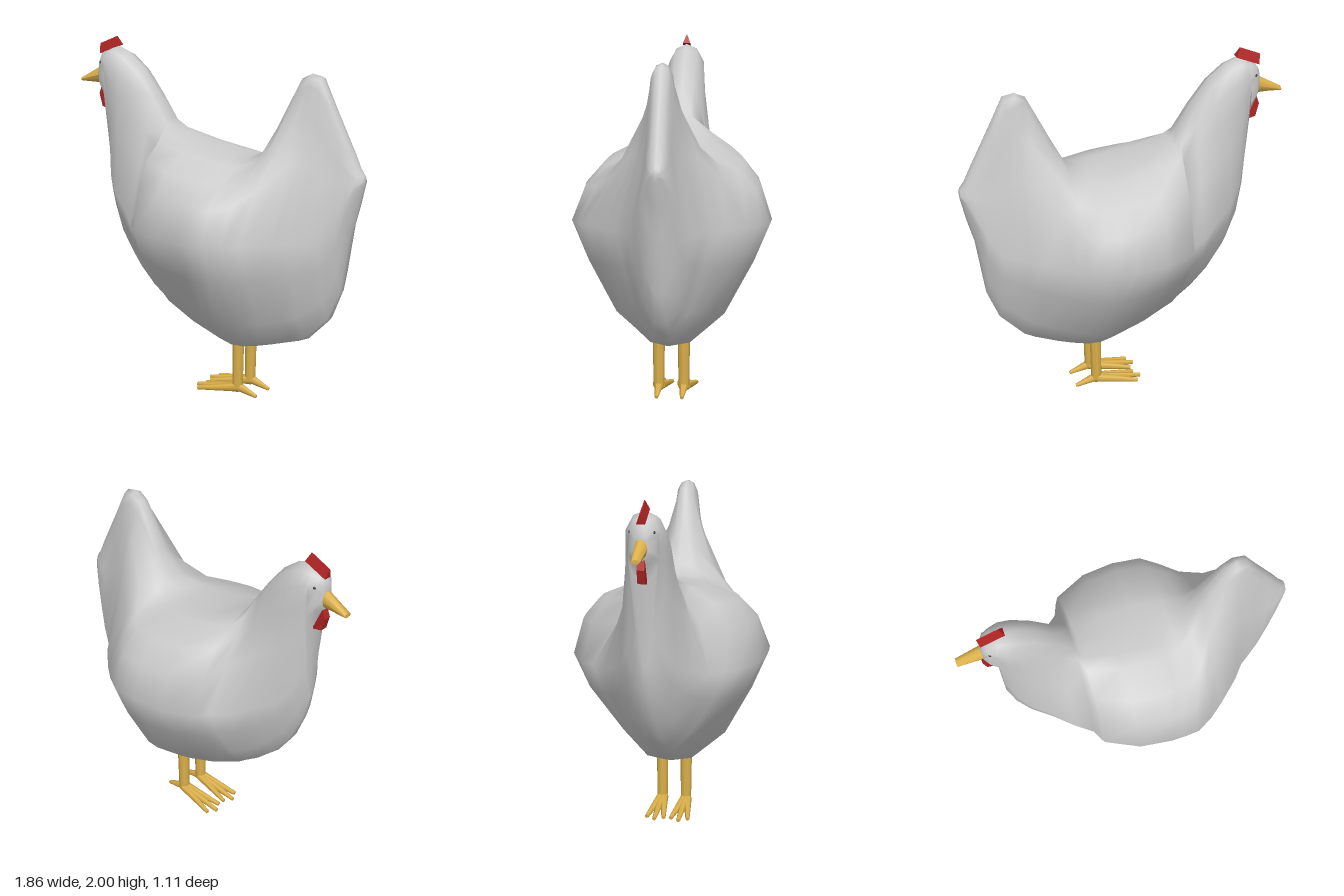
import * as THREE from 'three';

const grey = new THREE.MeshStandardMaterial({ color: 0xcccccc });
const yellow = new THREE.MeshStandardMaterial({ color: 0xdcb04a });
const red = new THREE.MeshStandardMaterial({ color: 0xb02424 });
const dark = new THREE.MeshStandardMaterial({ color: 0x444444 });

// Stations: x, bottom, top, half-width, height of widest point, ridge half-width, ridge height, bulge, belly
const headAndNeck = [
  [-0.79, 1.72, 1.87, 0.04, 1.76, 0.035, 1.83, 0.5, 0.55],
  [-0.765, 1.67, 1.91, 0.07, 1.74, 0.06, 1.86, 0.5, 0.55],
  [-0.725, 1.58, 1.925, 0.085, 1.7, 0.08, 1.86, 0.5, 0.55],
  [-0.71, 1.12, 1.935, 0.05, 1.35, 0.088, 1.85, 0.4, 0.55],
  [-0.67, 0.95, 1.945, 0.1, 1.2, 0.103, 1.84, 0.5, 0.55],
  [-0.6, 0.79, 1.92, 0.15, 1.1, 0.11, 1.8, 0.5, 0.55],
  [-0.5, 0.65, 1.84, 0.215, 1.05, 0.105, 1.72, 0.5, 0.53],
  [-0.4, 0.56, 1.71, 0.3, 1.0, 0.1, 1.6, 0.46, 0.5],
  [-0.31, 0.5, 1.56, 0.37, 1.0, 0.1, 1.5, 0.48, 0.48],
];
const trunkAndTail = [
  [-0.28, 0.48, 1.51, 0.44, 1.0, 0.17, 1.46, 0.78, 0.46],
  [-0.1, 0.39, 1.44, 0.53, 1.0, 0.2, 1.42, 0.82, 0.46],
  [0.08, 0.32, 1.41, 0.555, 1.0, 0.21, 1.39, 0.82, 0.52],
  [0.16, 0.295, 1.403, 0.555, 1.0, 0.2, 1.38, 0.8, 0.55],
  [0.24, 0.297, 1.4, 0.55, 1.0, 0.18, 1.37, 0.8, 0.55],
  [0.33, 0.315, 1.45, 0.5, 1.0, 0.12, 1.4, 0.74, 0.55],
  [0.41, 0.335, 1.6, 0.44, 1.0, 0.07, 1.54, 0.6, 0.55],
  [0.54, 0.375, 1.86, 0.325, 1.0, 0.05, 1.79, 0.47, 0.55],
  [0.6, 0.4, 1.89, 0.255, 1.0, 0.055, 1.83, 0.42, 0.55],
  [0.66, 0.46, 1.88, 0.215, 1.0, 0.055, 1.81, 0.42, 0.55],
  [0.73, 0.53, 1.74, 0.165, 1.0, 0.05, 1.66, 0.45, 0.55],
  [0.8, 0.7, 1.6, 0.12, 1.1, 0.05, 1.52, 0.5, 0.55],
  [0.85, 1.03, 1.5, 0.09, 1.22, 0.05, 1.42, 0.5, 0.55],
  [0.89, 1.17, 1.41, 0.06, 1.3, 0.04, 1.37, 0.5, 0.55],
  [0.92, 1.3, 1.37, 0.03, 1.33, 0.025, 1.35, 0.5, 0.55],
];

// One closed cross-section, up the +z side and down the -z side
function section([x, bottom, top, width, mid, ridge, ridgeY, bulge, belly]) {
  const half = [[0, 0], [0.2, 0.03], [belly, 0.27], [0.83, 0.68], [1, 1]]
    .map(([w, t]) => [bottom + (mid - bottom) * t, width * w]);
  for (const [t, fullness] of [[0.5, bulge], [0.8, bulge - 0.3]]) {
    half.push([mid + (ridgeY - mid) * t, ridge + (width - ridge) * fullness]);
  }
  half.push([ridgeY, ridge], [ridgeY + (top - ridgeY) * 0.75, ridge * 0.6], [top, 0]);
  const mirrored = half.slice(1, -1).reverse().map(([y, z]) => [y, -z]);
  return [...half, ...mirrored].map(([y, z]) => [x, y, z]);
}

function bodyGeometry() {
  const rings = [...headAndNeck, ...trunkAndTail].map(section);
  const n = rings[0].length, last = (rings.length - 1) * n;
  const points = rings.flat(), index = [];
  for (let i = 0; i < rings.length - 1; i++) {
    for (let j = 0; j < n; j++) {
      const k = (j + 1) % n;
      const a = i * n + j, b = a + n, c = (i + 1) * n + k, d = i * n + k;
      index.push(a, b, c, a, c, d);
    }
  }
  // Close the face and the tail end
  const front = points.push([-0.795, 1.8, 0]) - 1;
  const back = points.push([0.925, 1.335, 0]) - 1;
  for (let j = 0; j < n; j++) {
    const k = (j + 1) % n;
    index.push(front, j, k, back, last + k, last + j);
  }
  const geometry = new THREE.BufferGeometry();
  geometry.setAttribute('position', new THREE.Float32BufferAttribute(points.flat(), 3));
  geometry.setIndex(index);
  geometry.computeVertexNormals();
  return geometry;
}

function add(parent, name, geometry, material) {
  const mesh = new THREE.Mesh(geometry, material);
  mesh.name = name;
  parent.add(mesh);
  return mesh;
}

// Tapered round rod from a to b
function rod(parent, name, a, b, ra, rb, sides = 8) {
  const from = new THREE.Vector3(...a), to = new THREE.Vector3(...b);
  const along = to.clone().sub(from);
  const mesh = add(parent, name, new THREE.CylinderGeometry(rb, ra, along.length(), sides), yellow);
  mesh.position.copy(from).add(to).multiplyScalar(0.5);
  mesh.quaternion.setFromUnitVectors(new THREE.Vector3(0, 1, 0), along.normalize());
}

// Flat slab from a side outline, centred on z = 0
function slab(outline, thickness) {
  const shape = new THREE.Shape(outline.map(([x, y]) => new THREE.Vector2(x, y)));
  return new THREE.ExtrudeGeometry(shape, { depth: thickness, bevelEnabled: false })
    .translate(0, 0, -thickness / 2);
}

export function createModel() {
  const hen = new THREE.Group();
  hen.name = 'hen';
  add(hen, 'body', bodyGeometry(), grey);

  // Comb, pinched to a ridge along its upper edge
  const comb = slab([[-0.79, 1.895], [-0.655, 1.95], [-0.68, 2.0], [-0.8, 1.95]], 0.046);
  const p = comb.attributes.position;
  for (let i = 0; i < p.count; i++) {
    if (p.getY(i) - 0.42 * p.getX(i) > 2.26) p.setZ(i, p.getZ(i) * 0.1);
  }
  comb.computeVertexNormals();
  add(hen, 'comb', comb, red);
  add(hen, 'wattle', slab([[-0.775, 1.73], [-0.8, 1.66], [-0.78, 1.585], [-0.72, 1.57], [-0.71, 1.72]], 0.04), red);

  // Beak, level below and sloping above
  const beak = new THREE.CylinderGeometry(0.012, 0.057, 0.16, 8);
  beak.rotateZ(Math.PI / 2);
  const q = beak.attributes.position;
  for (let i = 0; i < q.count; i++) {
    const tip = q.getX(i) < 0;
    q.setXYZ(i, q.getX(i) - 0.85, q.getY(i) + (tip ? 1.732 : 1.777), q.getZ(i) * (tip ? 2 : 0.65));
  }
  beak.computeVertexNormals();
  add(hen, 'beak', beak, yellow);

  for (const side of [1, -1]) {
    const label = side > 0 ? 'left' : 'right';
    const eye = add(hen, label + 'Eye', new THREE.SphereGeometry(0.01, 10, 8), dark);
    eye.position.set(-0.755, 1.85, side * 0.06);

    // Leg with three front toes and one hind toe
    const leg = new THREE.Group();
    leg.name = label + 'Leg';
    leg.position.z = side * 0.071;
    rod(leg, 'shank', [0.18, 0.05, 0], [0.185, 0.4, 0], 0.031, 0.035);
    const ankle = add(leg, 'ankle', new THREE.SphereGeometry(0.032, 8, 6), yellow);
    ankle.position.set(0.18, 0.052, 0);
    for (const spread of [-1, 0, 1]) {
      const reach = spread ? -0.06 : -0.09;
      rod(leg, 'frontToe', [0.18, 0.052, spread * 0.008], [reach, 0.014, spread * 0.05], 0.027, 0.012, 6);
    }
    rod(leg, 'hindToe', [0.18, 0.055, 0], [0.305, 0.015, 0], 0.027, 0.01, 6);
    hen.add(leg);
  }
  return hen;
}
